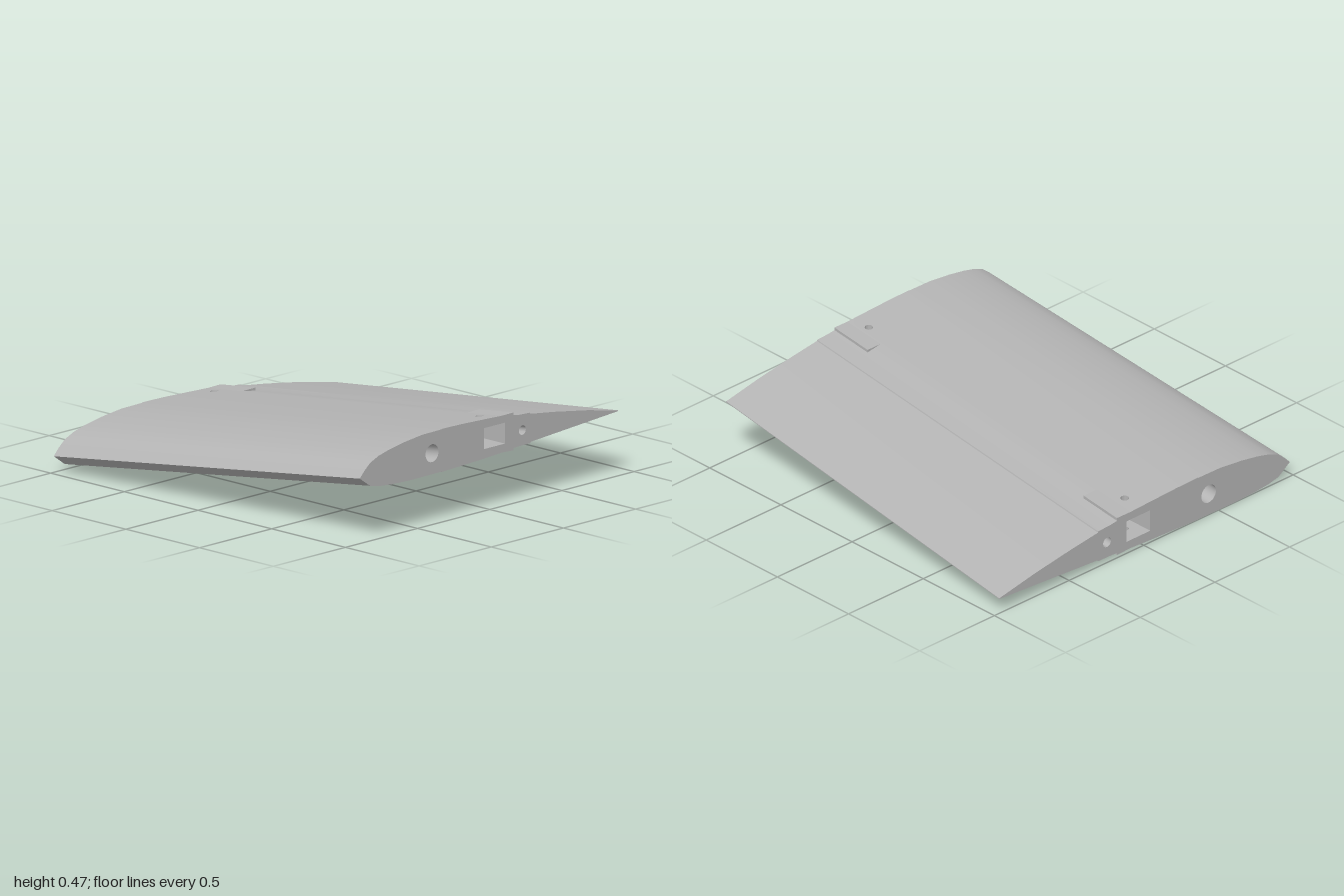
import * as THREE from 'three';
import { mergeGeometries, toCreasedNormals } from 'three/addons/utils/BufferGeometryUtils.js';

const V = (x, y, z) => new THREE.Vector3(x, y, z);

// Taper and slope of the panel along its span (z)
const taper = z => 1.0435 - 0.0435 * z;
const place = (x, y, z) => V(x * taper(z), 0.2075 + 0.1225 * z + (y - 0.33) * taper(z), z);

// Airfoil section at the z = 1 end, nose to tail
const upper = [[-0.9, 0.33], [-0.87, 0.362], [-0.83, 0.395], [-0.77, 0.42], [-0.7, 0.437], [-0.6, 0.454],
  [-0.47, 0.468], [-0.336, 0.470], [-0.335, 0.472], [-0.2, 0.470], [-0.04, 0.464], [0.08, 0.459],
  [0.165, 0.446], [0.2, 0.441], [0.28, 0.437], [0.282, 0.431], [0.45, 0.409], [0.67, 0.375], [0.89, 0.333]];
const lower = [[-0.9, 0.33], [-0.83, 0.281], [-0.77, 0.268], [-0.68, 0.260], [-0.55, 0.256], [-0.336, 0.258],
  [-0.335, 0.256], [-0.04, 0.267], [0.08, 0.274], [0.165, 0.281], [0.2, 0.283], [0.28, 0.284],
  [0.282, 0.290], [0.89, 0.329]];
const outline = [...lower, ...upper.slice(1).reverse()];

const STRIP = [-0.04, 0.08];          // skin strip pierced by the screw holes
const SCREW = { x: 0.03, z: 0.9, r: 0.02 };
const POCKET = [-0.04, 0.105, 0.315, 0.42];
const POCKET_END = 0.77;
const SIDES = 24;

const circle = (x, y, r) => Array.from({ length: SIDES }, (_, i) => {
  const t = i / SIDES * Math.PI * 2;
  return [x + r * Math.cos(t), y + r * Math.sin(t)];
});
const rect = (x0, x1, y0, y1) => [[x0, y0], [x1, y0], [x1, y1], [x0, y1]];

// Walls between two matching closed rings
function loft(a, b, skip = () => false) {
  const pts = [];
  a.forEach((p, i) => {
    const j = (i + 1) % a.length;
    if (!skip(i, j)) pts.push(p, a[j], b[j], p, b[j], b[i]);
  });
  return new THREE.BufferGeometry().setFromPoints(pts);
}

// Flat filled shape whose vertices are moved by a rule
function fill(points, holes, rule) {
  const toV2 = list => list.map(([x, y]) => new THREE.Vector2(x, y));
  const shape = new THREE.Shape(toV2(points));
  shape.holes = holes.map(h => new THREE.Path(toV2(h)));
  const flat = new THREE.ShapeGeometry(shape).toNonIndexed();
  const p = flat.attributes.position, pts = [];
  for (let i = 0; i < p.count; i++) pts.push(rule(p.getX(i), p.getY(i)));
  return new THREE.BufferGeometry().setFromPoints(pts);
}

// Upright face looking along s * z
const cap = (points, holes, s, rule) => {
  const flip = list => list.map(([x, y]) => [x * s, y]);
  return fill(flip(points), holes.map(flip), (x, y) => rule(x * s, y));
};
// Level face looking along s * y, given in x and z
const deck = (points, holes, s, rule) => {
  const flip = list => list.map(([x, z]) => [x, -s * z]);
  return fill(flip(points), holes.map(flip), (x, y) => rule(x, -s * y));
};

// Height of the pierced strip in the section
const stripY = (profile, x) => {
  const i = profile.findIndex(p => p[0] === STRIP[0]);
  const [a, b] = [profile[i], profile[i + 1]];
  return a[1] + (b[1] - a[1]) * (x - a[0]) / (b[0] - a[0]);
};

export function createModel() {
  const group = new THREE.Group();
  const grey = new THREE.MeshStandardMaterial({ color: 0xb4b4b4 });
  grey.name = 'grey';
  const add = (name, parts, crease = 0.3) => {
    const mesh = new THREE.Mesh(toCreasedNormals(mergeGeometries(parts), crease), grey);
    mesh.name = name;
    group.add(mesh);
  };
  const ring = (pts, z, rule = place) => pts.map(([x, y]) => rule(x, y, z));

  // Skin, with the middle strip pierced at both ends
  const inStrip = (i, j) => [i, j].every(k => STRIP.includes(outline[k][0]));
  const screws = [1, -1].map(e => circle(SCREW.x, e * SCREW.z, SCREW.r));
  const skin = [loft(ring(outline, -1), ring(outline, 1), inStrip)];
  [[upper, 1], [lower, -1]].forEach(([profile, s]) => skin.push(
    deck(rect(...STRIP, -1, 1), screws, s, (x, z) => place(x, stripY(profile, x), z))));
  add('wingSkin', skin);

  // Spar tunnels through the whole span
  const tunnels = [circle(-0.4, 0.363, 0.045), circle(0.226, 0.36, 0.024)];
  tunnels.forEach((t, i) => add(['mainSparTunnel', 'rearPinTunnel'][i],
    [loft(ring(t, 1), ring(t, -1))], 0.6));

  for (const e of [1, -1]) {
    const end = e > 0 ? 'front' : 'back';
    const pocket = rect(...POCKET);
    const [x0, x1, y0, y1] = POCKET;

    // End rib face
    add(end + 'Rib', [cap(outline, [...tunnels, pocket], e, (x, y) => place(x, y, e))]);

    // Straight joiner pocket with pierced floor and ceiling
    const straight = (x, y, z) => place(x, y, e).setZ(z);
    const inner = e * POCKET_END;
    const [zLow, zHigh] = [Math.min(e, inner), Math.max(e, inner)];
    const screw = circle(SCREW.x, e * SCREW.z, SCREW.r);
    const plan = rect(x0, x1, zLow, zHigh);
    add(end + 'JoinerPocket', [
      loft(ring(pocket, zHigh, straight), ring(pocket, zLow, straight), i => i % 2 === 0),
      deck(plan, [screw], 1, (x, z) => straight(x, y0, z)),
      deck(plan, [screw], -1, (x, z) => straight(x, y1, z)),
      cap(pocket, [], e, (x, y) => straight(x, y, inner)),
    ]);

    // Screw hole walls above and below the pocket
    const level = f => screw.map(([x, z]) => f(x, z));
    add(end + 'ScrewHole', [
      loft(level((x, z) => straight(x, y1, z)), level((x, z) => place(x, stripY(upper, x), z))),
      loft(level((x, z) => place(x, stripY(lower, x), z)), level((x, z) => straight(x, y0, z))),
    ], 0.6);

    // Thin wedge pads beside the screws, above and below
    const pads = {
      UpperPad: [[0.08, 0.459], [0.165, 0.446], [0.165, 0.460]],
      LowerPad: [[0.08, 0.274], [0.165, 0.2705], [0.165, 0.281]],
    };
    const padInner = e * 0.765;
    for (const [name, pts] of Object.entries(pads)) {
      add(end + name, [
        loft(ring(pts, Math.min(e, padInner)), ring(pts, Math.max(e, padInner))),
        cap(pts, [], e, (x, y) => place(x, y, e)),
        cap(pts, [], -e, (x, y) => place(x, y, padInner)),
      ], 0.1);
    }
  }
  return group;
}
